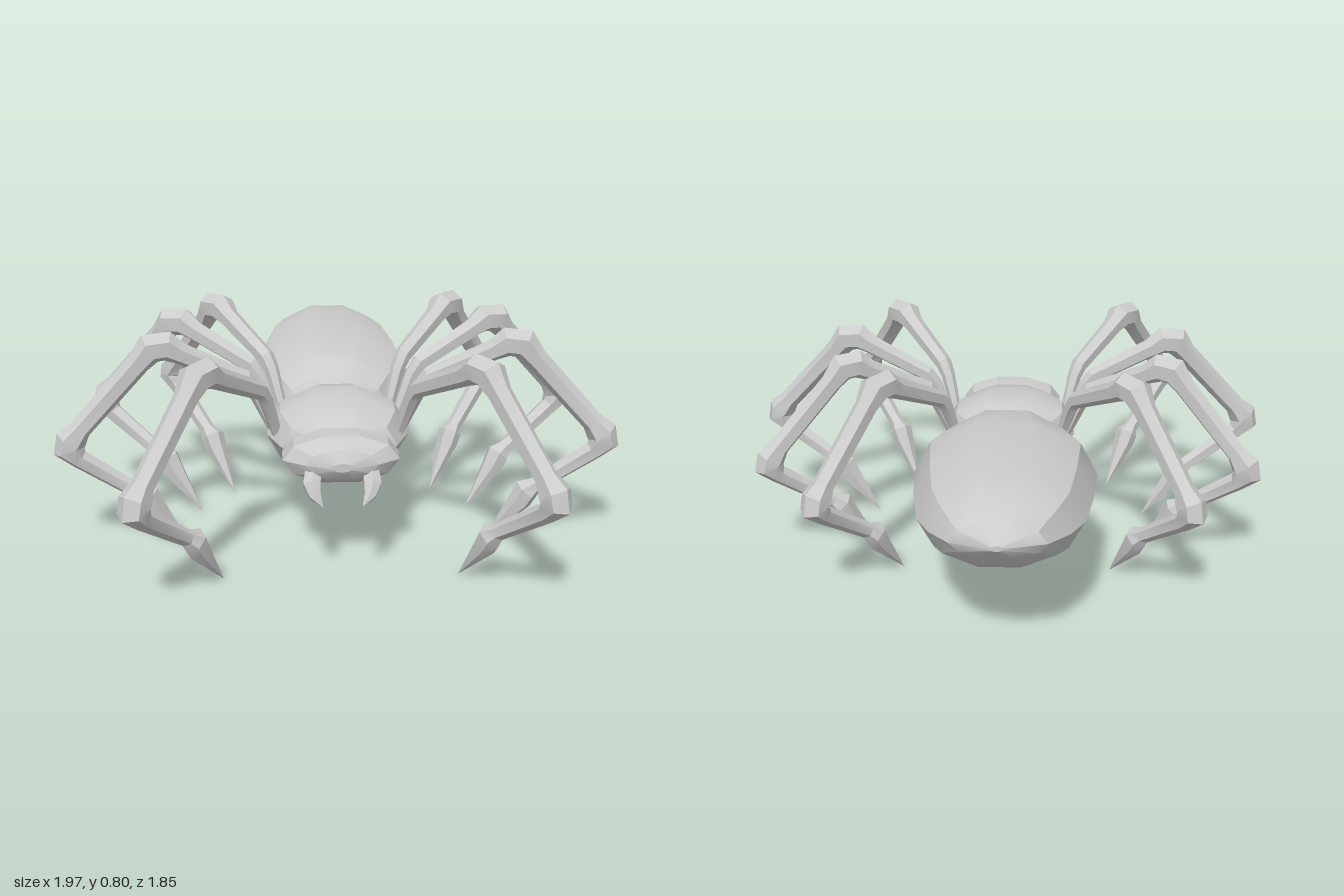
import * as THREE from 'three';
import { toCreasedNormals } from 'three/addons/utils/BufferGeometryUtils.js';

const V = (x, y, z) => new THREE.Vector3(x, y, z);
const material = new THREE.MeshStandardMaterial({ color: 0xcccccc });

// Closed skin over a list of equal-length rings, capped at both ends
function skin(rings, crease) {
  const n = rings[0].length, pos = [], idx = [];
  rings.forEach(r => r.forEach(p => pos.push(p.x, p.y, p.z)));
  for (let i = 0; i < rings.length - 1; i++) {
    for (let j = 0; j < n; j++) {
      const k = (j + 1) % n, a = i * n, b = a + n;
      idx.push(a + j, b + j, a + k, a + k, b + j, b + k);
    }
  }
  const last = (rings.length - 1) * n;
  [0, last].forEach((base, end) => {
    const c = rings[end ? rings.length - 1 : 0].reduce((s, p) => s.add(p), V(0, 0, 0)).divideScalar(n);
    const ci = pos.length / 3;
    pos.push(c.x, c.y, c.z);
    for (let j = 0; j < n; j++) {
      const k = (j + 1) % n;
      if (end) idx.push(ci, base + k, base + j);
      else idx.push(ci, base + j, base + k);
    }
  });
  const g = new THREE.BufferGeometry();
  g.setAttribute('position', new THREE.Float32BufferAttribute(pos, 3));
  g.setIndex(idx);
  return toCreasedNormals(g, crease);
}

function part(name, geometry) {
  const m = new THREE.Mesh(geometry, material);
  m.name = name;
  return m;
}

// Body piece from sections [z, halfWidth, top, middle, bottom], front to back
function body(name, sections, sides) {
  return part(name, skin(sections.map(([z, w, top, mid, bot]) =>
    Array.from({ length: sides }, (_, j) => {
      const a = j / sides * Math.PI * 2, s = Math.sin(a);
      return V(w * Math.cos(a), mid + (s > 0 ? top - mid : mid - bot) * s, z);
    })), 0.5));
}

// Tapered limb along points with radii; side is a vector across the bend plane
function limb(points, radii, side, sides) {
  return skin(points.map((p, i) => {
    const d = points[Math.min(i + 1, points.length - 1)].clone()
      .sub(points[Math.max(i - 1, 0)]).normalize();
    const u = side.clone().addScaledVector(d, -side.dot(d)).normalize();
    const v = u.clone().cross(d);
    return Array.from({ length: sides }, (_, j) => {
      const a = (j + 0.5) / sides * Math.PI * 2;
      return p.clone().addScaledVector(u, radii[i] * Math.cos(a)).addScaledVector(v, radii[i] * Math.sin(a));
    });
  }), 0.4);
}

// Leg profile: [reach from hip, height, radius]
const legProfile = [
  [-0.02, 0.41, 0.016], [0.05, 0.58, 0.027], [0.08, 0.62, 0.032], [0.3, 0.725, 0.038],
  [0.345, 0.755, 0.052], [0.405, 0.75, 0.055], [0.445, 0.7, 0.04], [0.655, 0.475, 0.038],
  [0.69, 0.435, 0.054], [0.7, 0.405, 0.054], [0.665, 0.365, 0.035], [0.47, 0.225, 0.029],
  [0.44, 0.205, 0.046], [0.42, 0.165, 0.042], [0.3, 0.005, 0.001],
];

// Hip position and outward direction of each left leg: [hipX, hipZ, dirX, dirZ]
const legs = {
  FrontLeg: [0.22, 0.3, 0.45, 0.58],
  MidFrontLeg: [0.24, 0.23, 0.72, 0.1],
  MidBackLeg: [0.23, 0.11, 0.66, -0.28],
  BackLeg: [0.2, 0.05, 0.44, -0.54],
};

export function createModel() {
  const spider = new THREE.Group();
  spider.name = 'spider';

  spider.add(body('abdomen', [
    [0.05, 0.16, 0.52, 0.42, 0.31], [0.02, 0.2, 0.56, 0.42, 0.27], [-0.06, 0.25, 0.605, 0.42, 0.22],
    [-0.23, 0.33, 0.63, 0.42, 0.21], [-0.45, 0.308, 0.637, 0.43, 0.215], [-0.65, 0.275, 0.632, 0.45, 0.285],
    [-0.77, 0.225, 0.62, 0.47, 0.34], [-0.89, 0.155, 0.575, 0.5, 0.445], [-0.945, 0.02, 0.52, 0.51, 0.5],
  ], 10));

  spider.add(body('thorax', [
    [0.43, 0.1, 0.49, 0.42, 0.35], [0.38, 0.2, 0.53, 0.42, 0.32], [0.26, 0.25, 0.562, 0.42, 0.27],
    [0.14, 0.25, 0.562, 0.42, 0.28], [0.05, 0.18, 0.54, 0.42, 0.31], [0, 0.12, 0.5, 0.42, 0.35],
  ], 10));

  spider.add(body('head', [
    [0.6, 0.04, 0.445, 0.43, 0.415], [0.575, 0.12, 0.485, 0.43, 0.375], [0.515, 0.195, 0.512, 0.425, 0.34],
    [0.42, 0.198, 0.505, 0.42, 0.33], [0.39, 0.14, 0.48, 0.42, 0.35],
  ], 10));

  for (const s of [1, -1]) {
    const label = s > 0 ? 'left' : 'right';

    // Curved fangs below the face
    spider.add(part(label + 'Fang', limb(
      [V(s * 0.095, 0.4, 0.545), V(s * 0.1, 0.365, 0.58), V(s * 0.09, 0.335, 0.605), V(s * 0.065, 0.305, 0.63)],
      [0.03, 0.033, 0.022, 0.001], V(1, 0, 0), 6)));

    // Four jointed legs per side
    for (const [name, [hx, hz, dx, dz]] of Object.entries(legs)) {
      const dir = V(s * dx, 0, dz).normalize();
      const points = legProfile.map(([r, y]) => V(s * hx, y, hz).addScaledVector(dir, r));
      spider.add(part(label + name, limb(points, legProfile.map(p => p[2]), V(-dir.z, 0, dir.x), 6)));
    }
  }
  return spider;
}
